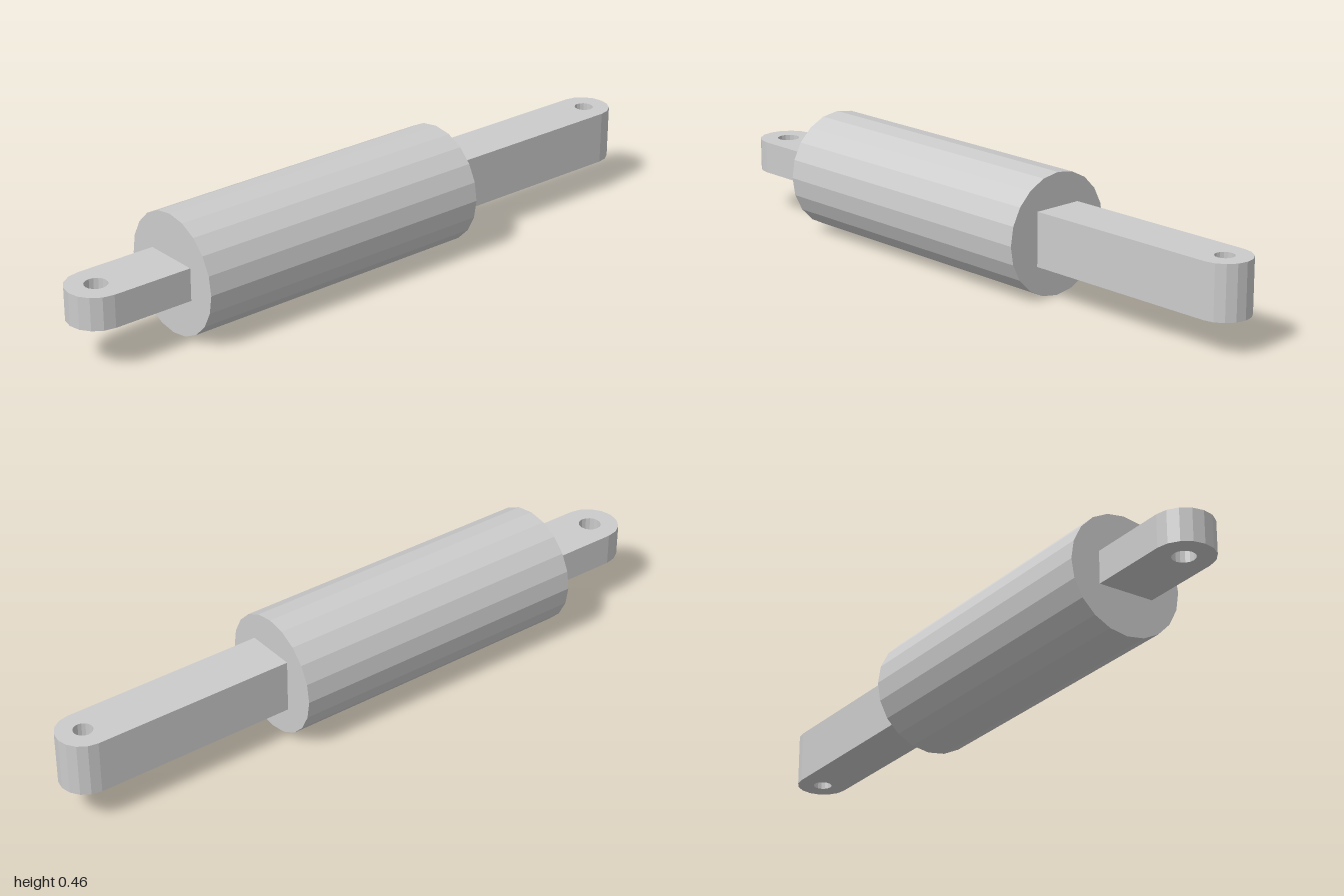
import * as THREE from 'three';

const MID = 0.23; // height of the central axis
const material = new THREE.MeshStandardMaterial({ color: 0xcccccc, flatShading: true });

// Flat bar with a rounded, drilled end. Runs along x from `start` to the pin at `pin`.
function createLug(name, start, pin, radius, holeRadius, thickness) {
  const length = Math.abs(pin - start);
  const shape = new THREE.Shape();
  shape.moveTo(0, -radius);
  shape.lineTo(length, -radius);
  shape.absarc(length, 0, radius, -Math.PI / 2, Math.PI / 2, false);
  shape.lineTo(0, radius);
  shape.closePath();

  const hole = new THREE.Path();
  hole.absarc(length, 0, holeRadius, 0, Math.PI, false);
  hole.absarc(length, 0, holeRadius, Math.PI, Math.PI * 2, false);
  shape.holes.push(hole);

  const geometry = new THREE.ExtrudeGeometry(shape, { depth: thickness, bevelEnabled: false, curveSegments: 4 });
  geometry.translate(0, 0, -thickness / 2);
  geometry.rotateX(-Math.PI / 2);

  const lug = new THREE.Mesh(geometry, material);
  lug.name = name;
  lug.position.set(start, MID, 0);
  if (pin < start) lug.rotation.y = Math.PI;
  return lug;
}

export function createModel() {
  const group = new THREE.Group();
  group.name = 'linkCylinder';

  // Main barrel, lying along x
  const bodyStart = -0.845;
  const bodyEnd = 0.385;
  const bodyGeometry = new THREE.CylinderGeometry(0.23, 0.23, bodyEnd - bodyStart, 20);
  bodyGeometry.rotateZ(Math.PI / 2);
  const body = new THREE.Mesh(bodyGeometry, material);
  body.name = 'barrel';
  body.position.set((bodyStart + bodyEnd) / 2, MID, 0);
  group.add(body);

  // Mounting lugs: short thin one at the front, long thick one at the back
  group.add(createLug('frontLug', bodyStart, -1.159, 0.112, 0.043, 0.125));
  group.add(createLug('rearLug', bodyEnd, 1.174, 0.1, 0.036, 0.205));

  // Swing the whole axis diagonally across the ground
  group.rotation.y = THREE.MathUtils.degToRad(50);
  return group;
}
